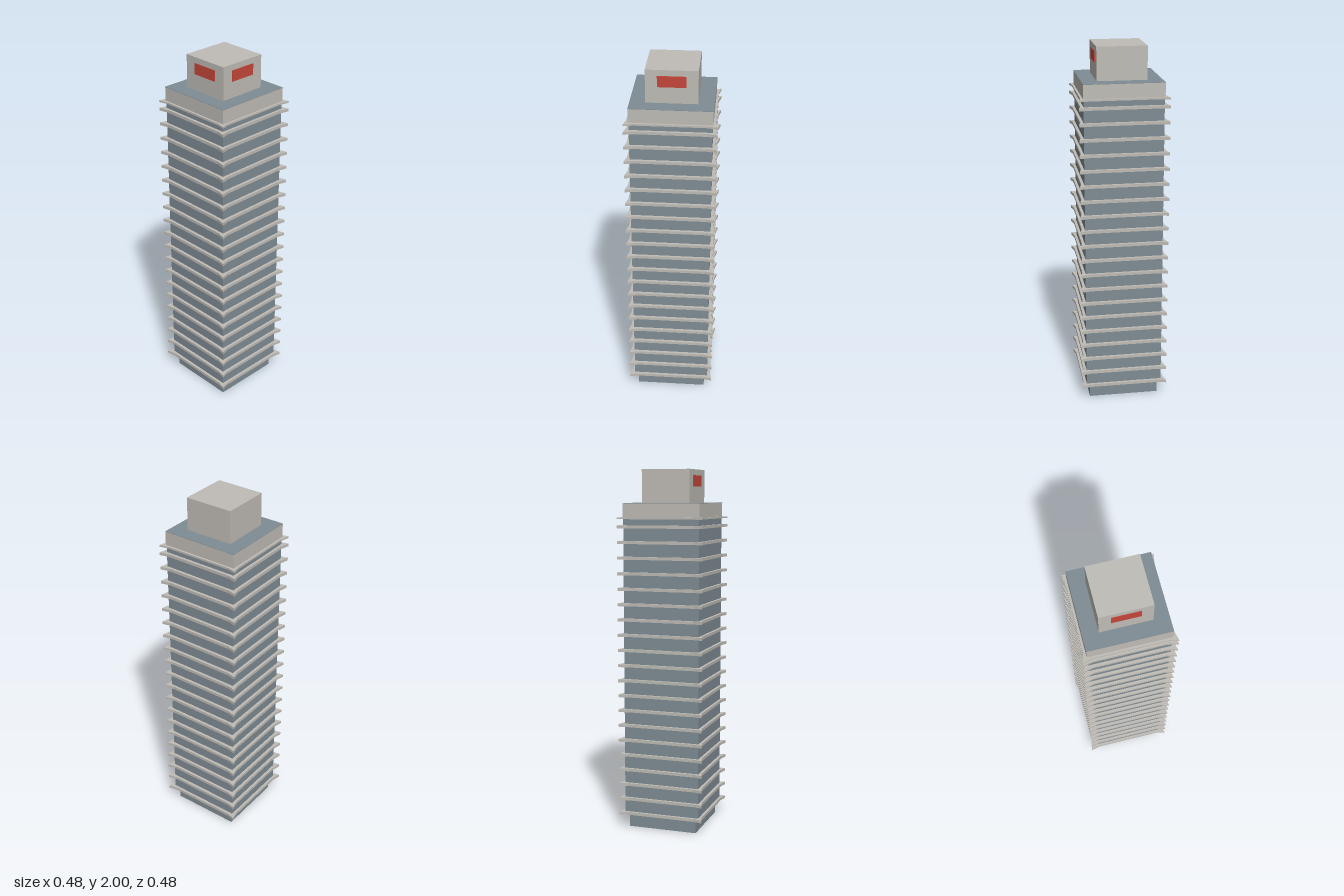
import * as THREE from 'three';

const concrete = new THREE.MeshStandardMaterial({ name: 'concrete', color: 0xbfbcb6 });
const glass = new THREE.MeshStandardMaterial({ name: 'blueGreyGlass', color: 0x7f8c94, side: THREE.DoubleSide });
const red = new THREE.MeshStandardMaterial({ name: 'signRed', color: 0xc4473a });

// Square plan whose corners flare out to a point
function slabGeometry(thickness) {
  const corner = 0.242, edge = 0.23, start = 0.19;
  const points = [];
  for (let i = 0; i < 4; i++) {
    for (const [x, y] of [[edge, start], [corner, corner], [start, edge]]) {
      points.push(new THREE.Vector2(x, y).rotateAround(new THREE.Vector2(), i * Math.PI / 2));
    }
  }
  const geometry = new THREE.ExtrudeGeometry(new THREE.Shape(points), { depth: thickness, bevelEnabled: false });
  return geometry.rotateX(-Math.PI / 2).translate(0, -thickness / 2, 0);
}

export function createModel() {
  const model = new THREE.Group();
  model.name = 'officeTower';

  function add(name, geometry, material, x, y, z) {
    const mesh = new THREE.Mesh(geometry, material);
    mesh.name = name;
    mesh.position.set(x, y, z);
    model.add(mesh);
    return mesh;
  }
  const block = (name, half, y0, y1, material) =>
    add(name, new THREE.BoxGeometry(half * 2, y1 - y0, half * 2), material, 0, (y0 + y1) / 2, 0);

  // Ground floor: four walls, open underneath
  const baseHalf = 0.195, baseHeight = 0.08;
  for (let i = 0; i < 4; i++) {
    const a = i * Math.PI / 2;
    const wall = add('groundFloorWall', new THREE.PlaneGeometry(baseHalf * 2, baseHeight), glass,
      Math.sin(a) * baseHalf, baseHeight / 2, Math.cos(a) * baseHalf);
    wall.rotation.y = a;
  }

  // Glazed shaft and floor slabs
  block('glazedShaft', 0.215, 0.085, 1.74, glass);
  const slab = slabGeometry(0.016);
  for (let i = 0; i < 20; i++) add('floorSlab', slab, concrete, 0, 0.085 + i * 0.0846, 0);
  add('topSlab', slabGeometry(0.01), concrete, 0, 1.738, 0);

  // Crown band with a glass-coloured roof surface
  block('crownBand', 0.218, 1.74, 1.818, concrete);
  block('roofSurface', 0.218, 1.818, 1.82, glass);

  // Rooftop plant room with a red panel on the front and left faces
  block('plantRoom', 0.136, 1.82, 2, concrete);
  add('frontSign', new THREE.BoxGeometry(0.15, 0.06, 0.004), red, 0, 1.938, 0.137);
  add('leftSign', new THREE.BoxGeometry(0.004, 0.06, 0.15), red, 0.137, 1.938, 0);

  return model;
}
